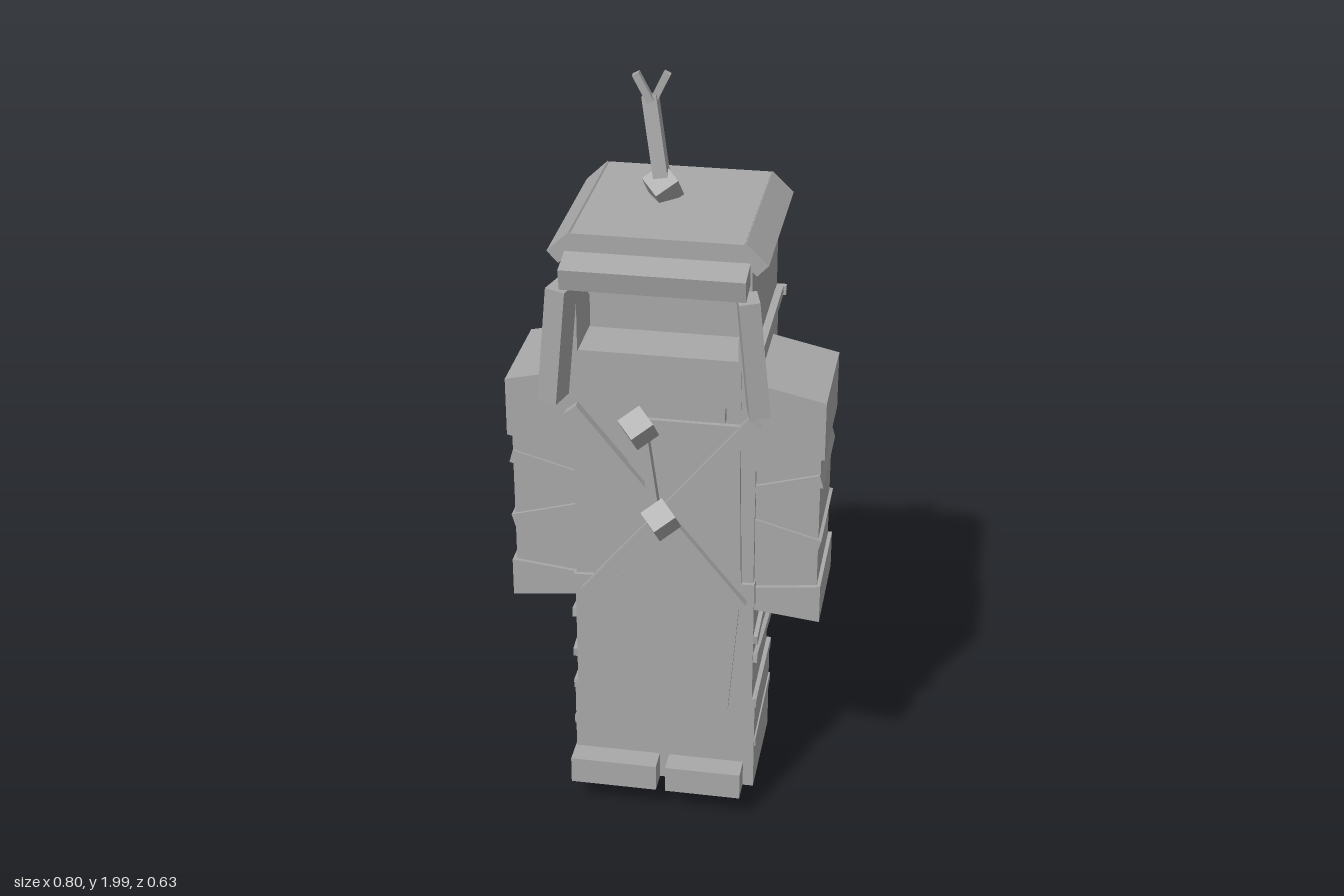
import * as THREE from 'three';

const grey = new THREE.MeshStandardMaterial({ color: 0xa8a8a8 });
grey.name = 'stone grey';

export function createModel() {
  const model = new THREE.Group();
  model.name = 'armouredFigure';

  // Box by size, centre and rotation
  function box(name, size, pos, rot = [0, 0, 0]) {
    const m = new THREE.Mesh(new THREE.BoxGeometry(...size), grey);
    m.name = name;
    m.position.set(...pos);
    m.rotation.set(...rot);
    model.add(m);
    return m;
  }
  // Square bar between two points
  function bar(name, a, b, w, d = w) {
    const p = new THREE.Vector3(...a), q = new THREE.Vector3(...b);
    const m = box(name, [w, p.distanceTo(q), d], p.clone().add(q).multiplyScalar(0.5).toArray());
    m.quaternion.setFromUnitVectors(new THREE.Vector3(0, 1, 0), q.sub(p).normalize());
  }
  // Outline in x and y, given a depth between z0 and z1
  function plate(name, pts, z0, z1) {
    const shape = new THREE.Shape(pts.map(p => new THREE.Vector2(...p)));
    const m = new THREE.Mesh(new THREE.ExtrudeGeometry(shape, { depth: z1 - z0, bevelEnabled: false }), grey);
    m.name = name;
    m.position.z = z0;
    model.add(m);
  }
  // Small knot turned to show a corner
  const knot = (name, pos, s = 0.065) => box(name, [s, s, s], pos, [0.6, 0.7, 0.15]);

  // Torso and legs
  box('torso', [0.46, 0.61, 0.28], [0, 0.945, 0.005]);
  box('upperLegs', [0.465, 0.34, 0.285], [0, 0.5, 0.005]);
  box('lowerLegs', [0.48, 0.28, 0.295], [0, 0.22, 0]);
  box('belt', [0.47, 0.06, 0.3], [0, 0.68, 0.005], [0, 0, 0.03]);
  box('collar', [0.31, 0.05, 0.32], [0, 1.205, 0.005]);
  box('frontToe', [0.23, 0.075, 0.09], [-0.128, 0.118, 0.165]);
  box('frontToe', [0.2, 0.075, 0.09], [0.112, 0.118, 0.165]);

  // Wrappings on the legs
  for (const [y, tilt] of [[0.56, 0.12], [0.47, -0.12], [0.35, 0.03], [0.23, 0.06]]) {
    for (const s of [-1, 1]) box('legWrap', [0.012, 0.025, 0.29], [s * 0.238, y, 0], [tilt * s, 0, 0]);
    box('legWrap', [0.47, 0.02, 0.012], [0, y - 0.02, -0.145], [0, 0, tilt]);
  }

  // Ragged cloth down the front
  plate('frontCloth', [[-0.08, 1.17], [0.19, 1.17], [0.2, 0.7], [0.17, 0.33], [0.13, 0.43],
    [0.1, 0.43], [0.055, 0.34], [0.03, 0.43], [-0.05, 0.43], [-0.11, 0.44], [-0.125, 0.68], [-0.1, 0.9]], 0.145, 0.158);

  // Crossed straps, front and back
  for (const s of [-1, 1]) {
    bar('frontStrap', [s * 0.23, 1.19, 0.165], [-s * 0.2, 0.655, 0.165], 0.04, 0.025);
    bar('backStrap', [s * 0.23, 1.2, -0.195], [-s * 0.2, 0.65, -0.145], 0.04, 0.02);
  }
  knot('frontKnot', [0, 0.91, 0.195]);
  knot('shoulderKnot', [-0.055, 1.165, 0.195]);
  bar('frontCord', [-0.05, 1.15, 0.17], [-0.02, 0.93, 0.17], 0.025);
  knot('backKnot', [0, 0.91, -0.195]);

  // Hanging cords with weights behind the legs
  bar('backCord', [0, 1.22, -0.2], [0, 0.93, -0.175], 0.02);
  bar('backCord', [0, 0.9, -0.17], [-0.03, 0.45, -0.15], 0.02);
  bar('backCord', [0.12, 0.69, -0.175], [0.095, 0.26, -0.145], 0.02);
  bar('backCord', [-0.03, 0.69, -0.175], [-0.12, 0.25, -0.15], 0.02);
  bar('backCord', [-0.11, 0.69, -0.17], [-0.12, 0.4, -0.15], 0.02);
  knot('weight', [-0.125, 0.22, -0.215], 0.06);
  knot('weight', [0.1, 0.165, -0.228], 0.06);
  knot('weight', [-0.015, 0.09, -0.262], 0.06);

  // Loose heel plates
  box('heelPlate', [0.13, 0.1, 0.025], [-0.105, 0.065, -0.145], [0.05, 0, 0.2]);
  box('heelPlate', [0.125, 0.1, 0.025], [0.12, 0.07, -0.145], [0.05, 0, -0.16]);

  // Arms with shoulder guards, wraps and cuffs
  for (const s of [-1, 1]) {
    const side = pts => pts.map(([x, y]) => [s * x, y]);
    box('arm', [0.17, 0.57, 0.26], [s * 0.305, 0.945, 0]);
    plate('shoulderGuard', side([[0.22, 1.285], [0.4, 1.245], [0.4, 1.09], [0.22, 1.04]]), -0.145, 0.145);
    box('armWrap', [0.178, 0.035, 0.275], [s * 0.308, 1.0, 0], [0, 0, s * 0.27]);
    box('armWrap', [0.178, 0.035, 0.275], [s * 0.308, 0.86, 0], [0, 0, -s * 0.27]);
    plate('cuff', side([[0.22, 0.7], [0.4, 0.72], [0.4, 0.615], [0.22, 0.635]]), -0.14, 0.14);
  }

  // Hood: roof, walls and lower rim
  box('hoodRoof', [0.41, 0.05, 0.47], [0, 1.66, 0]);
  box('hoodBack', [0.45, 0.4, 0.025], [0, 1.435, -0.23]);
  box('backRim', [0.5, 0.025, 0.015], [0, 1.365, -0.24]);
  for (const s of [-1, 1]) {
    box('hoodSide', [0.03, 0.26, 0.465], [s * 0.21, 1.51, 0.002]);
    box('lowerSide', [0.035, 0.13, 0.44], [s * 0.213, 1.305, -0.015]);
    box('sideRim', [0.03, 0.025, 0.445], [s * 0.228, 1.365, -0.022]);
    box('roofEdge', [0.075, 0.04, 0.465], [s * 0.222, 1.648, 0.002], [0, 0, -s * 0.76]);
    box('faceFlap', [0.05, 0.3, 0.07], [s * 0.235, 1.42, 0.27], [0, s * 0.25, s * 0.1]);
  }
  box('visor', [0.44, 0.055, 0.08], [0, 1.605, 0.268], [0.2, 0, 0]);

  // Face set back inside the hood
  box('face', [0.4, 0.3, 0.3], [0, 1.5, -0.07]);
  box('brow', [0.4, 0.06, 0.02], [0, 1.5, 0.085]);
  box('jaw', [0.4, 0.13, 0.42], [0, 1.31, 0]);
  box('chinRim', [0.42, 0.025, 0.02], [0, 1.365, 0.21]);

  // Forked crest on the roof
  knot('crestBase', [-0.03, 1.715, -0.018]);
  bar('crestStem', [-0.03, 1.72, -0.015], [-0.065, 1.935, -0.042], 0.036);
  bar('crestFork', [-0.06, 1.925, -0.025], [-0.096, 1.993, -0.025], 0.018);
  bar('crestFork', [-0.055, 1.925, -0.04], [-0.022, 1.993, -0.04], 0.018);

  return model;
}
